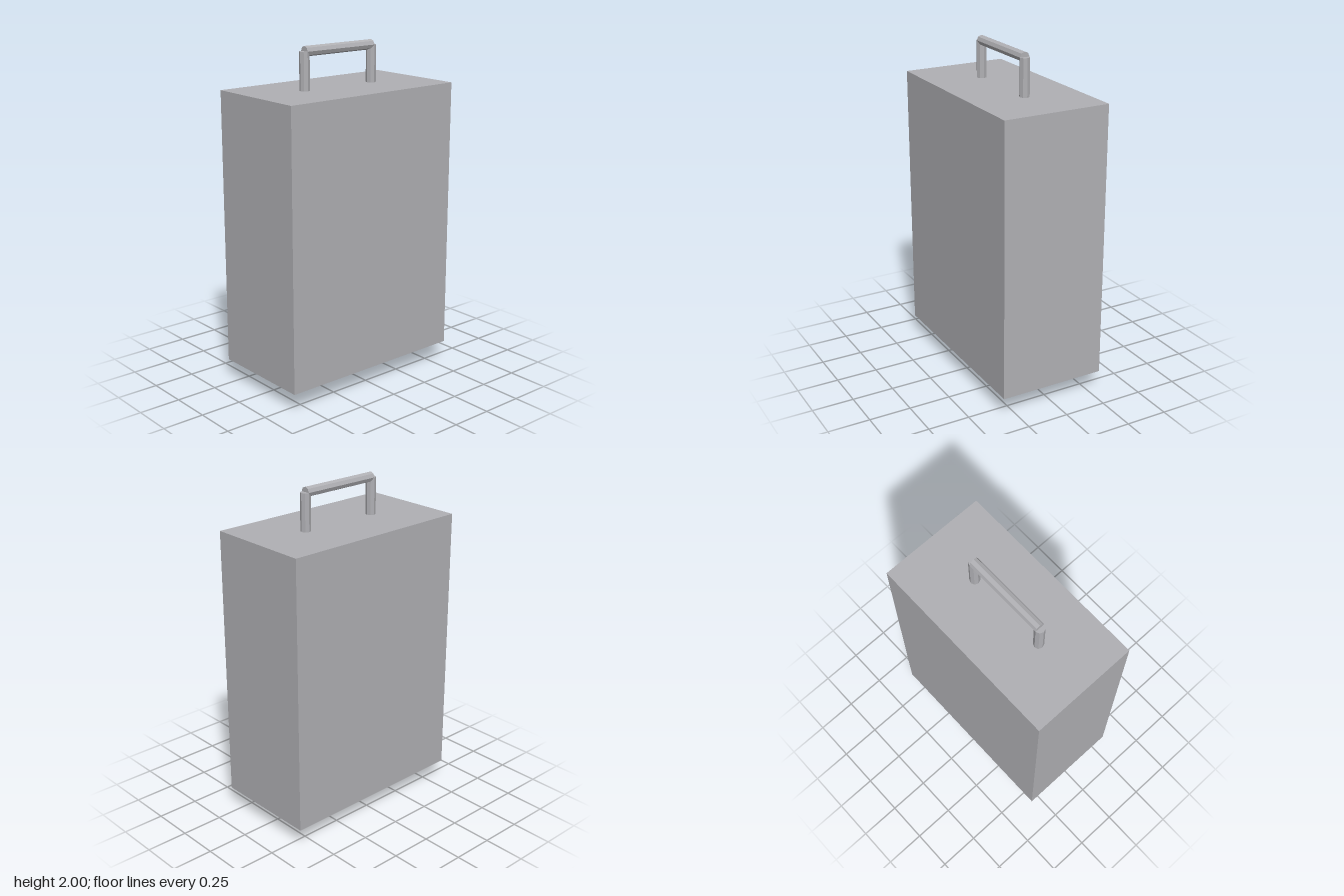
import * as THREE from 'three';

export function createModel() {
  const model = new THREE.Group();
  model.name = 'suitcase';

  const shellGrey = new THREE.MeshStandardMaterial({ color: 0xb0b0b4, flatShading: true });
  shellGrey.name = 'shellGrey';
  const wheelGrey = new THREE.MeshStandardMaterial({ color: 0x5c5c62, flatShading: true });
  wheelGrey.name = 'wheelGrey';

  function add(name, geometry, material, x, y, z) {
    const mesh = new THREE.Mesh(geometry, material);
    mesh.name = name;
    mesh.position.set(x, y, z);
    model.add(mesh);
    return mesh;
  }

  // Octagonal rod, length along y
  const rod = (radius, length) => new THREE.CylinderGeometry(radius, radius, length, 8);

  // Case
  add('caseBody', new THREE.BoxGeometry(1.19, 1.635, 0.644), shellGrey, 0, 0.9325, 0);

  for (const side of [-1, 1]) {
    const label = side > 0 ? 'left' : 'right';

    // Wheels, partly sunk into the case
    const wheel = rod(0.087, 0.148).rotateX(Math.PI / 2);
    add(label + 'Wheel', wheel, wheelGrey, side * 0.396, 0.087, 0);

    // Handle posts
    add(label + 'HandlePost', rod(0.0297, 0.24), shellGrey, side * 0.248, 1.85, 0);
  }

  // Handle grip
  const grip = rod(0.0297, 0.496).rotateZ(Math.PI / 2);
  add('handleGrip', grip, shellGrey, 0, 1.9703, 0);

  return model;
}
